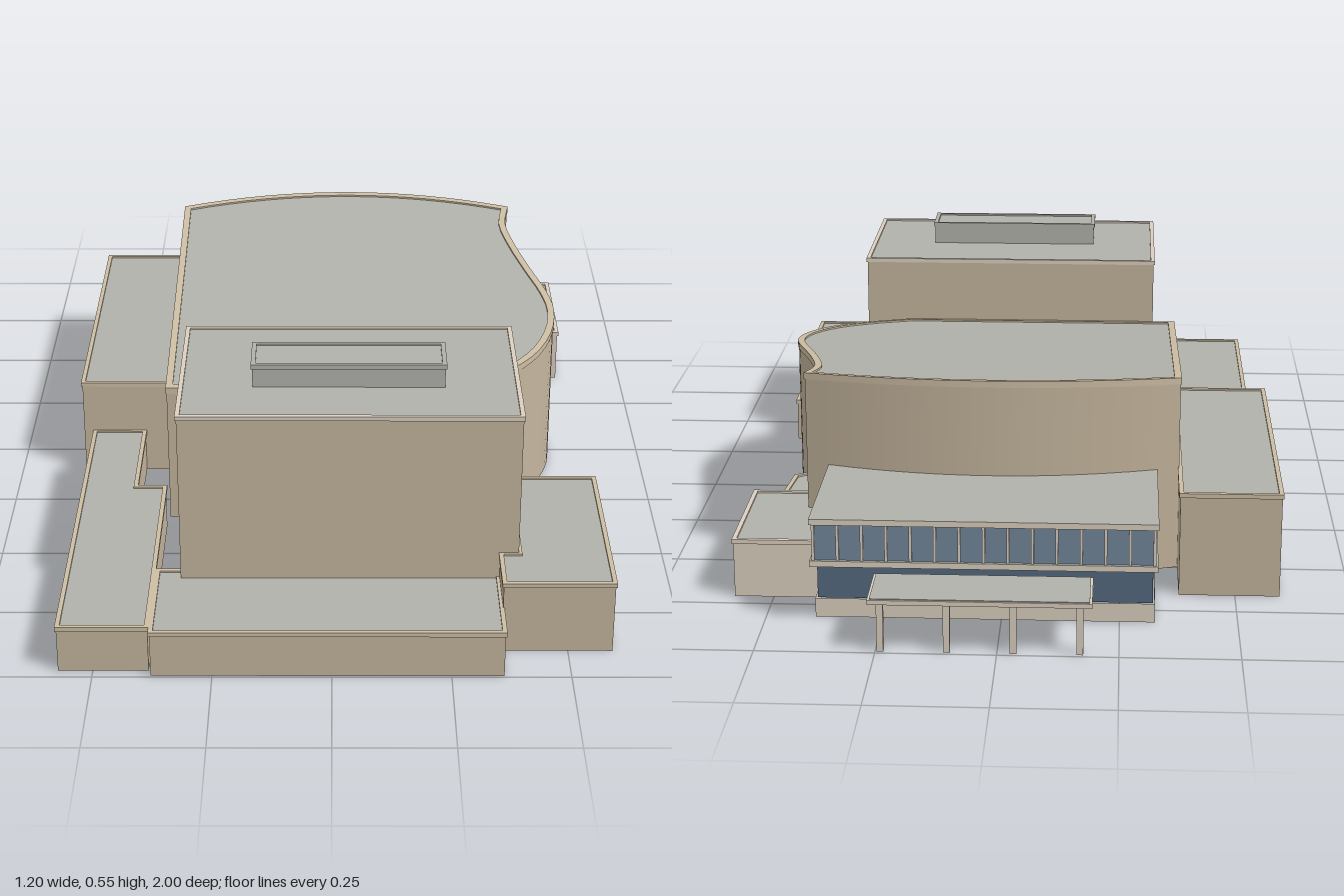
import * as THREE from 'three';
import { toCreasedNormals } from 'three/addons/utils/BufferGeometryUtils.js';

const mat = (color) => new THREE.MeshStandardMaterial({ color, side: THREE.DoubleSide });
const wall = mat(0xc4b59d), roofing = mat(0xb2b2ac), cream = mat(0xdccfc0), trim = mat(0xcdbea3);
const teal = mat(0x5a9fb5), glass = mat(0x72869a), darkGlass = mat(0x54697f);

// Plan outlines are [x, z] pairs; kept counter-clockwise as seen from above
function outline(pairs) {
  const pts = pairs.map(([x, z]) => new THREE.Vector2(x, -z));
  return THREE.ShapeUtils.area(pts) < 0 ? pts.reverse() : pts;
}
const rect = (x0, x1, z0, z1) => [[x0, z0], [x1, z0], [x1, z1], [x0, z1]];

// Mitred offset, positive outwards
function offset(pts, o) {
  const n = pts.length;
  return pts.map((p, i) => {
    const a = p.clone().sub(pts[(i + n - 1) % n]).normalize();
    const b = pts[(i + 1) % n].clone().sub(p).normalize();
    const s = o / (1 + a.dot(b));
    return new THREE.Vector2(p.x + (a.y + b.y) * s, p.y - (a.x + b.x) * s);
  });
}

function mesh(name, verts, material) {
  const g = new THREE.BufferGeometry();
  g.setAttribute('position', new THREE.Float32BufferAttribute(verts, 3));
  g.computeVertexNormals();
  const m = new THREE.Mesh(toCreasedNormals(g, 0.5), material);
  m.name = name;
  return m;
}

// Walls joining rings of [outward offset, height function]
function band(name, pts, rings, material) {
  const loops = rings.map(([o, h]) => offset(pts, o).map((p) => [p.x, h(-p.y), -p.y]));
  const v = [];
  for (let k = 0; k + 1 < loops.length; k++) {
    for (let i = 0; i < pts.length; i++) {
      const j = (i + 1) % pts.length;
      const [a, b, c, d] = [loops[k][i], loops[k][j], loops[k + 1][j], loops[k + 1][i]];
      v.push(...a, ...b, ...c, ...a, ...c, ...d);
    }
  }
  return mesh(name, v, material);
}

function cap(name, pts, o, h, material) {
  const q = offset(pts, o), v = [];
  for (const tri of THREE.ShapeUtils.triangulateShape(q, [])) {
    for (const i of tri) v.push(q[i].x, h(-q[i].y), -q[i].y);
  }
  return mesh(name, v, material);
}

// Open-bottomed volume with coping and roof
function volume(name, pairs, height, { base = 0, body = wall, edge = trim, rim = 0.007, lip = 0.003, deep = 0.01 } = {}) {
  const h = typeof height === 'function' ? height : () => height;
  const less = (d) => (z) => h(z) - d;
  const pts = outline(pairs), g = new THREE.Group();
  g.name = name;
  g.add(band('walls', pts, [[0, () => base], [0, less(deep)]], body));
  g.add(band('coping', pts, [[0, less(deep)], [lip, less(deep)], [lip, h], [-rim, h], [-rim, less(0.004)]], edge));
  g.add(cap('roof', pts, -rim, less(0.004), roofing));
  return g;
}

function box(name, x0, x1, y0, y1, z0, z1, material) {
  const m = new THREE.Mesh(new THREE.BoxGeometry(x1 - x0, y1 - y0, z1 - z0), material);
  m.position.set((x0 + x1) / 2, (y0 + y1) / 2, (z0 + z1) / 2);
  m.name = name;
  return m;
}

export function createModel() {
  const model = new THREE.Group();

  // Stage tower and rooftop plant
  model.add(volume('stageTower', rect(-0.325, 0.4, 0.338, 0.775), 0.495, { edge: cream }));
  model.add(volume('rooftopPlant', rect(-0.17, 0.242, 0.525, 0.633), 0.545, { base: 0.49, body: roofing, edge: roofing }));

  // Auditorium: bowed rear wall, wavy side, roof rising to the rear
  const rearArc = (x) => -0.57 + 0.075 * ((x - 0.035) / 0.415) ** 2;
  const arcPoints = (x0, x1, n) => Array.from({ length: n + 1 }, (_, i) => {
    const x = x0 + (x1 - x0) * i / n;
    return [x, rearArc(x)];
  });
  const wave = new THREE.CatmullRomCurve3([
    [0.45, -0.495], [0.438, -0.41], [0.455, -0.31], [0.487, -0.19], [0.519, -0.08],
    [0.53, 0], [0.515, 0.1], [0.465, 0.2], [0.385, 0.275], [0.29, 0.332],
  ].map(([x, z]) => new THREE.Vector3(x, 0, z))).getPoints(27).slice(1).map((p) => [p.x, p.z]);
  model.add(volume('auditorium', [[-0.378, 0.332], ...arcPoints(-0.378, 0.45, 16), ...wave],
    (z) => 0.338 + (0.332 - z) * 0.128, { rim: 0.014, lip: 0.002, deep: 0.015 }));

  // Low wings around the tower and auditorium
  model.add(volume('sideWing', rect(-0.597, -0.378, -0.66, 0.1), 0.235));
  model.add(volume('sideStrip', [[-0.573, 0.1], [-0.45, 0.1], [-0.45, 0.375], [-0.383, 0.375], [-0.383, 0.975], [-0.573, 0.975]], 0.107));
  model.add(volume('frontStrip', rect(-0.378, 0.36, 0.745, 0.995), 0.107));
  model.add(volume('cornerBlock', [[0.4, 0.44], [0.595, 0.44], [0.595, 0.9], [0.36, 0.9], [0.36, 0.775], [0.4, 0.775]], 0.167));
  model.add(volume('cornerLink', [[0.4, 0.35], [0.593, 0.36], [0.593, 0.44], [0.4, 0.44]], 0.107));
  model.add(volume('sideAnnex', [[0.45, -0.4], [0.532, -0.4], [0.517, -0.222], [0.483, -0.198]], 0.107));
  model.add(volume('rearAnnex', rect(0.4, 0.585, -0.71, -0.4), 0.132, { body: cream, edge: cream }));

  // Foyer: plinth, ground glazing, floor edge, upper glazing and roof
  const foyer = new THREE.Group();
  foyer.name = 'foyer';
  const foyerPlan = (o, z) => outline([[-0.33 + o, z], ...arcPoints(-0.33 + o, 0.4 - o, 12), [0.4 - o, z]]);
  const level = (y) => () => y;
  const slab = (name, o, z, y0, y1, side, top) => {
    const pts = foyerPlan(o, z);
    foyer.add(band(name + 'Edge', pts, [[0, level(y0)], [0, level(y1)]], side));
    foyer.add(cap(name + 'Top', pts, 0, level(y1), top));
  };
  foyer.add(band('plinth', foyerPlan(0.005, -0.815), [[0, level(0)], [0, level(0.042)]], cream));
  foyer.add(band('groundGlazing', foyerPlan(0.01, -0.81), [[0, level(0.042)], [0, level(0.13)]], darkGlass));
  slab('floor', 0, -0.858, 0.13, 0.143, cream, roofing);
  foyer.add(box('rearGlazing', -0.32, 0.39, 0.143, 0.223, -0.85, -0.846, glass));
  for (const [name, x] of [['leftGlazing', 0.39], ['rightGlazing', -0.324]]) {
    foyer.add(box(name, x, x + 0.004, 0.143, 0.223, -0.85, -0.51, teal));
  }
  const soffit = foyerPlan(0, -0.858);
  foyer.add(cap('soffit', soffit, 0, level(0.223), roofing));
  slab('roof', 0, -0.858, 0.223, 0.236, cream, roofing);
  for (let i = 0; i <= 14; i++) {
    const x = -0.322 + 0.714 * i / 14;
    foyer.add(box('mullion', x - 0.003, x + 0.003, 0.143, 0.223, -0.855, -0.849, cream));
  }
  model.add(foyer);

  // Entrance canopy on four posts
  const canopy = new THREE.Group();
  canopy.name = 'canopy';
  canopy.add(box('canopyEdge', -0.195, 0.265, 0.106, 0.116, -1, -0.855, cream));
  canopy.add(box('canopyRoof', -0.19, 0.26, 0.116, 0.118, -0.996, -0.858, roofing));
  for (let i = 0; i < 4; i++) {
    const x = -0.17 + 0.41 * i / 3;
    canopy.add(box('post', x - 0.007, x + 0.007, 0, 0.106, -0.992, -0.978, cream));
  }
  model.add(canopy);
  return model;
}
